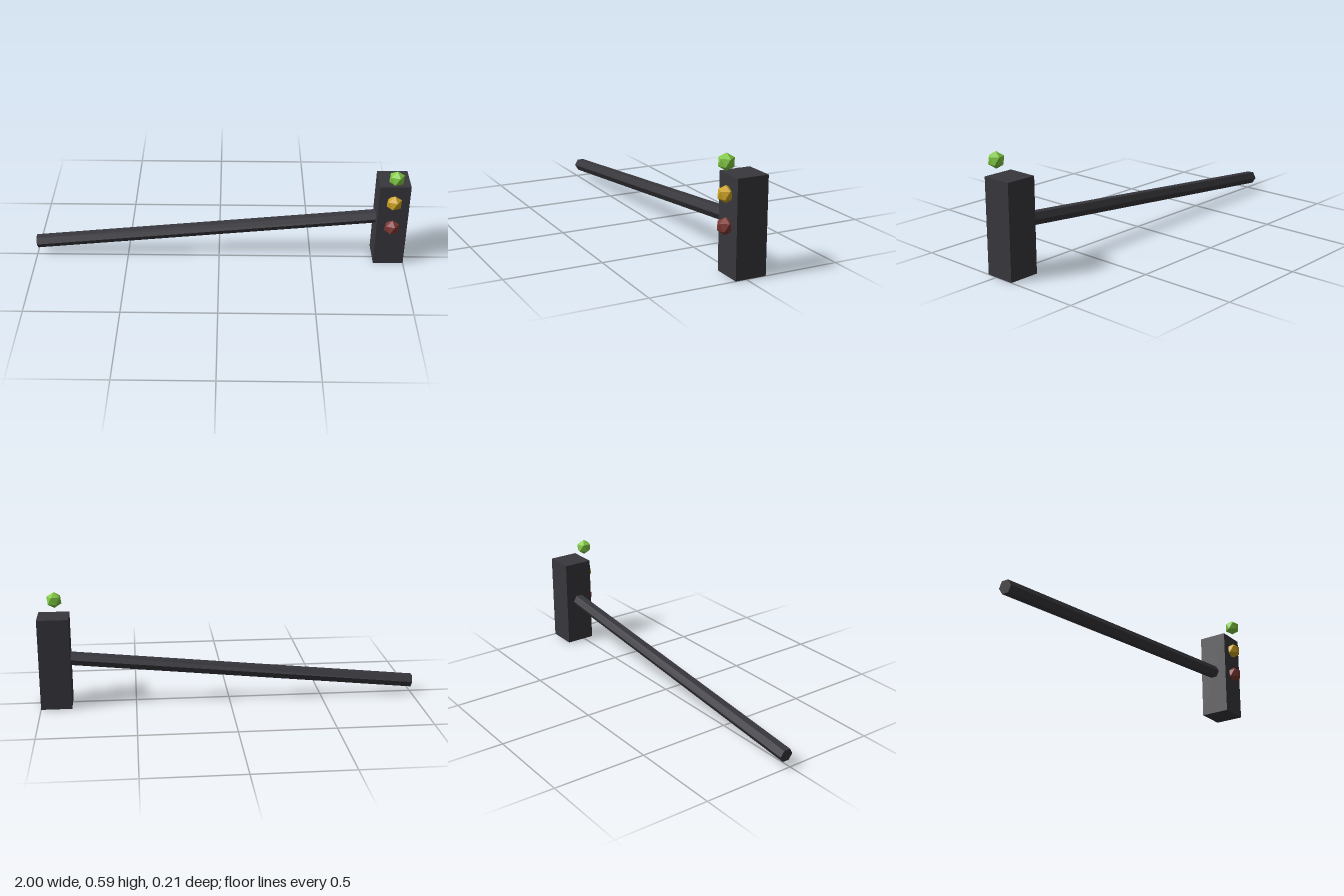
import * as THREE from 'three';

function material(name, color) {
  const m = new THREE.MeshStandardMaterial({ color });
  m.name = name;
  m.flatShading = true;
  return m;
}

export function createModel() {
  const group = new THREE.Group();
  group.name = 'signalArm';

  const darkGrey = material('darkGrey', 0x38373d);
  const green = material('green', 0x82cb43);
  const yellow = material('yellow', 0xcda321);
  const red = material('red', 0x7f3833);

  const add = (name, geometry, mat, x, y, z) => {
    const mesh = new THREE.Mesh(geometry, mat);
    mesh.name = name;
    mesh.position.set(x, y, z);
    group.add(mesh);
    return mesh;
  };

  const boxX = 0.919, boxZ = -0.024;

  // Upright signal housing
  add('housing', new THREE.BoxGeometry(0.162, 0.487, 0.162), darkGrey, boxX, 0.2435, boxZ);

  // Six-sided arm, rising from its free end into the housing
  const start = new THREE.Vector3(-0.997, 0.07, boxZ);
  const tilt = 0.1, length = 1.92;
  const arm = add('arm', new THREE.CylinderGeometry(0.0365, 0.0365, length, 6), darkGrey,
    start.x + Math.cos(tilt) * length / 2, start.y + Math.sin(tilt) * length / 2, boxZ);
  arm.rotation.z = tilt - Math.PI / 2;

  // Faceted lamps, each with one corner pointing straight up
  const lampGeometry = new THREE.IcosahedronGeometry(0.043, 0);
  lampGeometry.rotateX(-Math.atan((1 + Math.sqrt(5)) / 2));
  lampGeometry.rotateY(Math.PI / 2);
  [['redLamp', red], ['yellowLamp', yellow], ['greenLamp', green]].forEach(([name, mat], i) => {
    add(name, lampGeometry, mat, boxX - 0.002, 0.244 + i * 0.152, 0.069);
  });

  return group;
}
